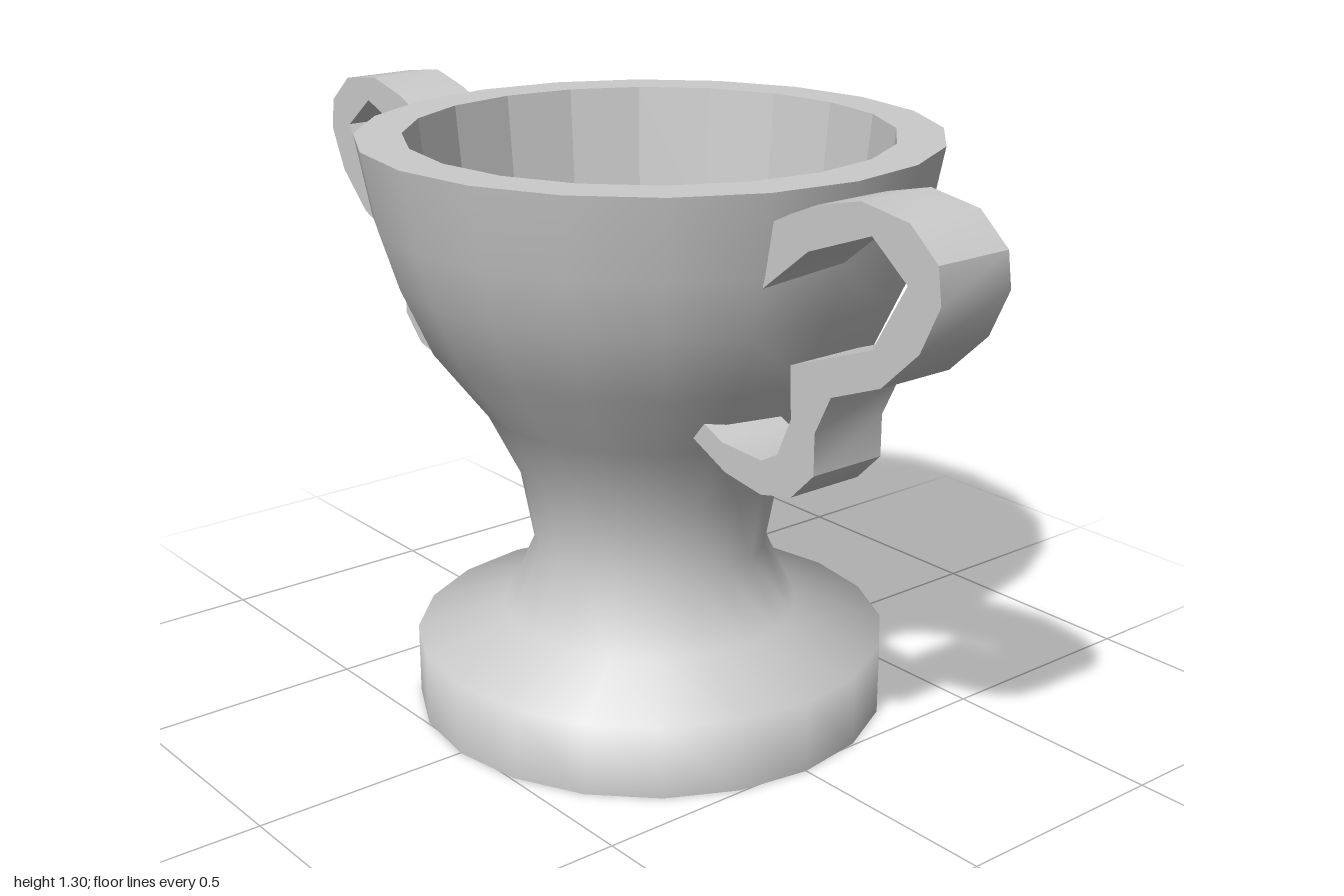
import * as THREE from 'three';
import { toCreasedNormals } from 'three/addons/utils/BufferGeometryUtils.js';

const SIDES = 20;
const smooth = new THREE.MeshStandardMaterial({ color: 0xcccccc });
const faceted = new THREE.MeshStandardMaterial({ color: 0xcccccc, flatShading: true });
const toPoints = (list) => list.map(([a, b]) => new THREE.Vector2(a, b));

function addMesh(parent, name, geometry, material) {
  const mesh = new THREE.Mesh(geometry, material);
  mesh.name = name;
  parent.add(mesh);
}

export function createModel() {
  const cup = new THREE.Group();
  cup.name = 'trophyCup';
  const turned = (name, profile, material) =>
    addMesh(cup, name, new THREE.LatheGeometry(toPoints(profile), SIDES), material);

  // Turned body: flat underside, smooth foot, stem and bowl
  turned('underside', [[0, 0], [0.52, 0]], faceted);
  turned('body', [
    [0.52, 0], [0.52, 0.16], [0.325, 0.22], [0.257, 0.37], [0.287, 0.535],
    [0.365, 0.69], [0.48, 0.84], [0.545, 0.985], [0.583, 1.105], [0.615, 1.275],
  ], smooth);

  // Flat rim and shallow faceted hollow
  turned('rim', [[0.615, 1.275], [0.515, 1.275]], faceted);
  turned('innerWall', [[0.515, 1.275], [0.485, 0.975]], faceted);
  turned('bowlFloor', [[0.485, 0.975], [0, 0.975]], faceted);

  // Scrolled handle outline as (distance from axis, height)
  const outer = [
    [0.56, 1.21], [0.62, 1.24], [0.69, 1.27], [0.8, 1.297], [0.92, 1.28], [0.99, 1.22],
    [1, 1.15], [0.955, 1.055], [0.865, 0.97], [0.74, 0.92], [0.7, 0.84],
    [0.7, 0.755], [0.64, 0.695], [0.555, 0.675], [0.45, 0.69], [0.34, 0.74],
  ];
  const inner = [
    [0.37, 0.78], [0.44, 0.75], [0.555, 0.745], [0.6, 0.77], [0.635, 0.85], [0.63, 0.955],
    [0.84, 1.035], [0.92, 1.17], [0.83, 1.24], [0.67, 1.18], [0.55, 1.085],
  ];

  // Front and back handles, both offset to the model's right
  for (const [name, side] of [['frontHandle', 1], ['backHandle', -1]]) {
    const shape = new THREE.Shape(toPoints([...outer, ...inner].map(([r, y]) => [r * side, y])));
    const band = new THREE.ExtrudeGeometry(shape, { depth: 0.175, bevelEnabled: false });
    band.rotateY(-Math.PI / 2);
    addMesh(cup, name, toCreasedNormals(band, 0.6), smooth);
  }
  return cup;
}
